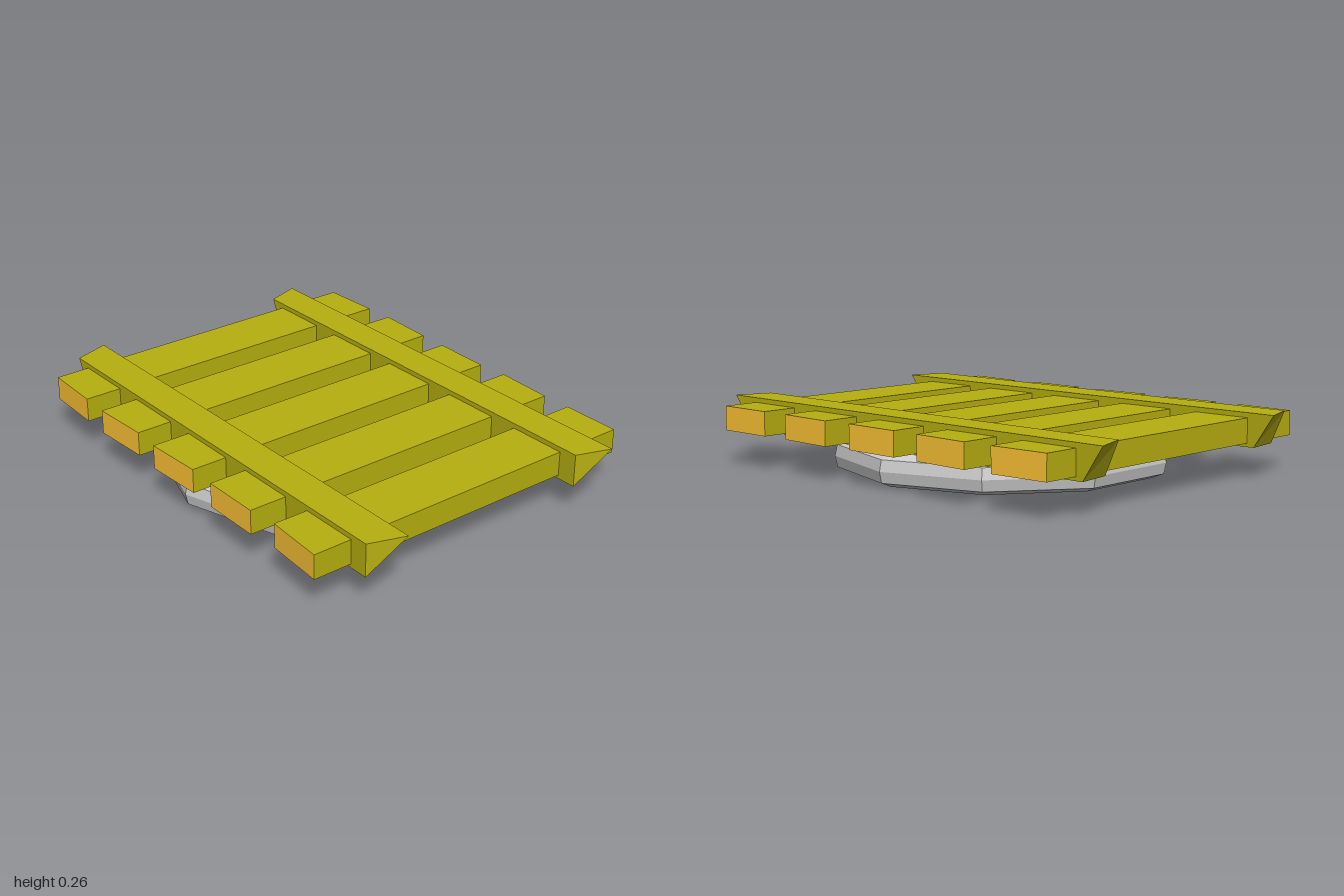
import * as THREE from 'three';

const wood = new THREE.MeshStandardMaterial({ color: 0xb8b010, flatShading: true });
const cutWood = new THREE.MeshStandardMaterial({ color: 0xffc535, flatShading: true });
const metal = new THREE.MeshStandardMaterial({ color: 0xcccccc, flatShading: true });

// Box whose corners are placed by a rule: place(sx, sy, sz) -> [x, y, z], signs are -1 or 1
function shapedBox(place) {
  const geometry = new THREE.BoxGeometry(2, 2, 2);
  const p = geometry.attributes.position;
  for (let i = 0; i < p.count; i++) {
    p.setXYZ(i, ...place(Math.sign(p.getX(i)), Math.sign(p.getY(i)), Math.sign(p.getZ(i))));
  }
  geometry.computeVertexNormals();
  return geometry;
}

function add(parent, name, geometry, material) {
  const mesh = new THREE.Mesh(geometry, material);
  mesh.name = name;
  parent.add(mesh);
  return mesh;
}

export function createModel() {
  const model = new THREE.Group();
  model.name = 'slattedPlatform';

  // Slats with slightly skewed sawn ends: z at [back left, back right, front left, front right]
  const slats = new THREE.Group();
  slats.name = 'slats';
  model.add(slats);
  const ends = [
    [-0.735, -0.745, 0.725, 0.735],
    [-0.75, -0.74, 0.742, 0.73],
    [-0.738, -0.734, 0.742, 0.73],
    [-0.745, -0.735, 0.737, 0.737],
    [-0.738, -0.738, 0.725, 0.742],
  ];
  ends.forEach((end, i) => {
    const x = -0.755 + i * 0.375;
    const geometry = shapedBox((sx, sy, sz) => [
      x + sx * 0.125,
      0.19 + sy * 0.05,
      end[(sz > 0 ? 2 : 0) + (sx > 0 ? 1 : 0)],
    ]);
    add(slats, 'slat', geometry, [wood, wood, wood, wood, cutWood, cutWood]);
  });

  // Cross rails with slanted ends
  for (const [name, zBack, zFront] of [['backRail', -0.585, -0.44], ['frontRail', 0.43, 0.58]]) {
    const geometry = shapedBox((sx, sy, sz) => {
      let x = sz > 0 ? 0.95 : 1;
      if (sy < 0) x = sx > 0 ? (sz > 0 ? 0.95 : 0.89) : (sz > 0 ? 0.89 : 0.91);
      return [sx * x, sy > 0 ? 0.26 : 0.125, sz > 0 ? zFront : zBack];
    });
    add(model, name, geometry, wood);
  }

  // Ten-sided wheel rim
  const wheel = new THREE.Group();
  wheel.name = 'wheel';
  model.add(wheel);
  const section = [
    [0.63, 0], [0.68, 0.02], [0.69, 0.065], [0.68, 0.11], [0.63, 0.13],
    [0.58, 0.11], [0.57, 0.065], [0.58, 0.02], [0.63, 0],
  ].map(([r, y]) => new THREE.Vector2(r, y));
  add(wheel, 'rim', new THREE.LatheGeometry(section, 10), metal);

  // Crossed spokes and hub
  for (const turn of [0, Math.PI / 2]) {
    const spoke = add(wheel, 'spoke', new THREE.BoxGeometry(turn ? 1.22 : 1.16, 0.03, 0.072), metal);
    spoke.position.y = 0.065;
    spoke.rotation.y = turn;
  }
  const hub = add(wheel, 'hub', new THREE.CylinderGeometry(0.075, 0.075, 0.04, 8), metal);
  hub.position.y = 0.065;

  return model;
}
